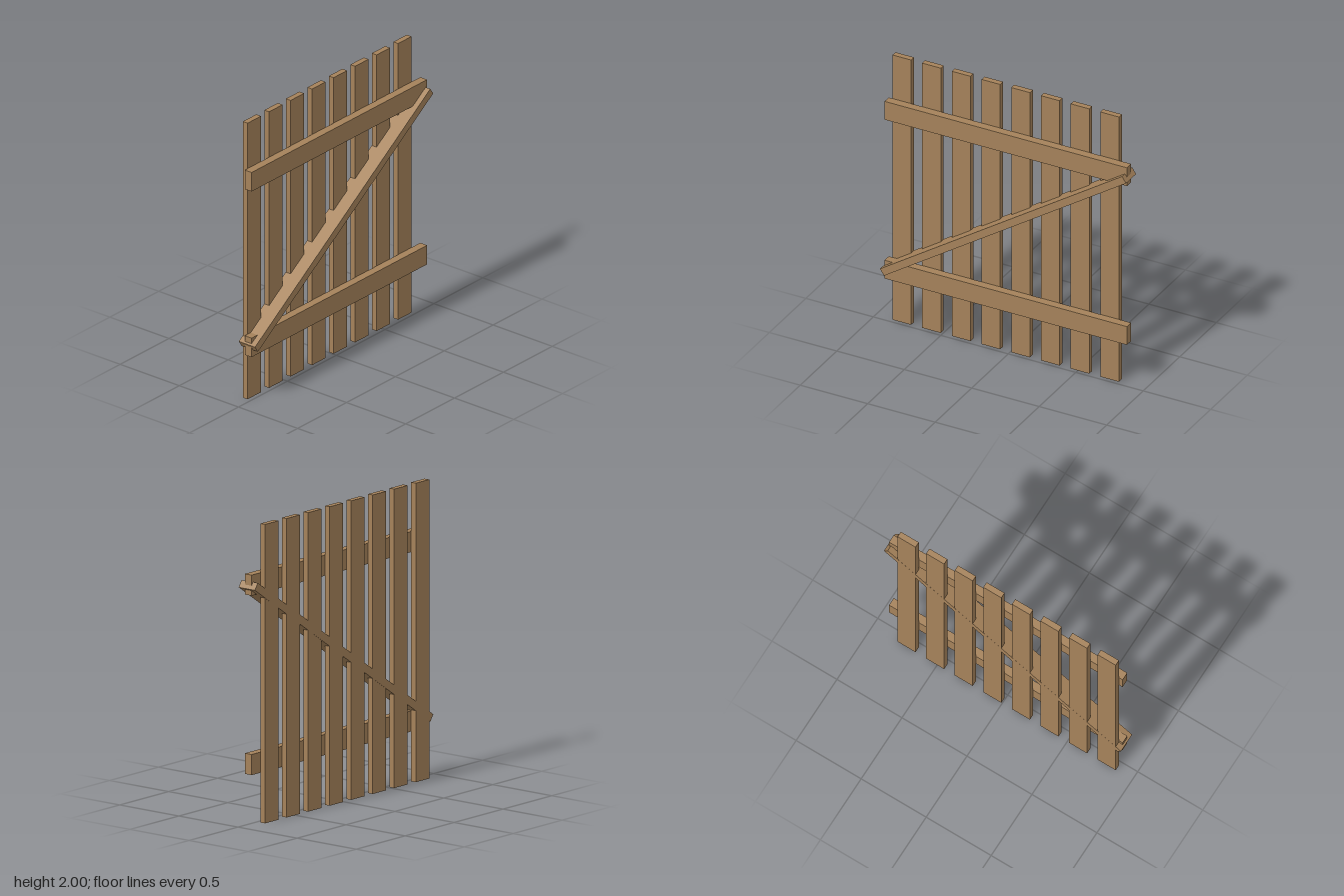
import * as THREE from 'three';

export function createModel() {
  const gate = new THREE.Group();
  gate.name = 'fenceGate';

  const wood = new THREE.MeshStandardMaterial({ color: 0xa5825a });
  wood.name = 'wood';

  function addBoard(name, size, position, tilt = 0) {
    const board = new THREE.Mesh(new THREE.BoxGeometry(...size), wood);
    board.name = name;
    board.position.set(...position);
    board.rotation.z = tilt;
    gate.add(board);
  }

  // Eight upright slats along the back
  for (let i = 0; i < 8; i++) {
    addBoard('slat', [0.138, 2, 0.04], [-0.804 + i * 0.22, 1, -0.048]);
  }

  // Horizontal rails in front of the slats
  addBoard('lowerRail', [1.796, 0.138, 0.057], [-0.003, 0.402, 0.0005]);
  addBoard('upperRail', [1.796, 0.138, 0.057], [-0.003, 1.602, 0.0005]);

  // Diagonal brace running through the full depth
  addBoard('diagonalBrace', [2.158, 0.053, 0.137], [-0.002, 1, 0], Math.atan2(1.2, 1.795));

  return gate;
}
